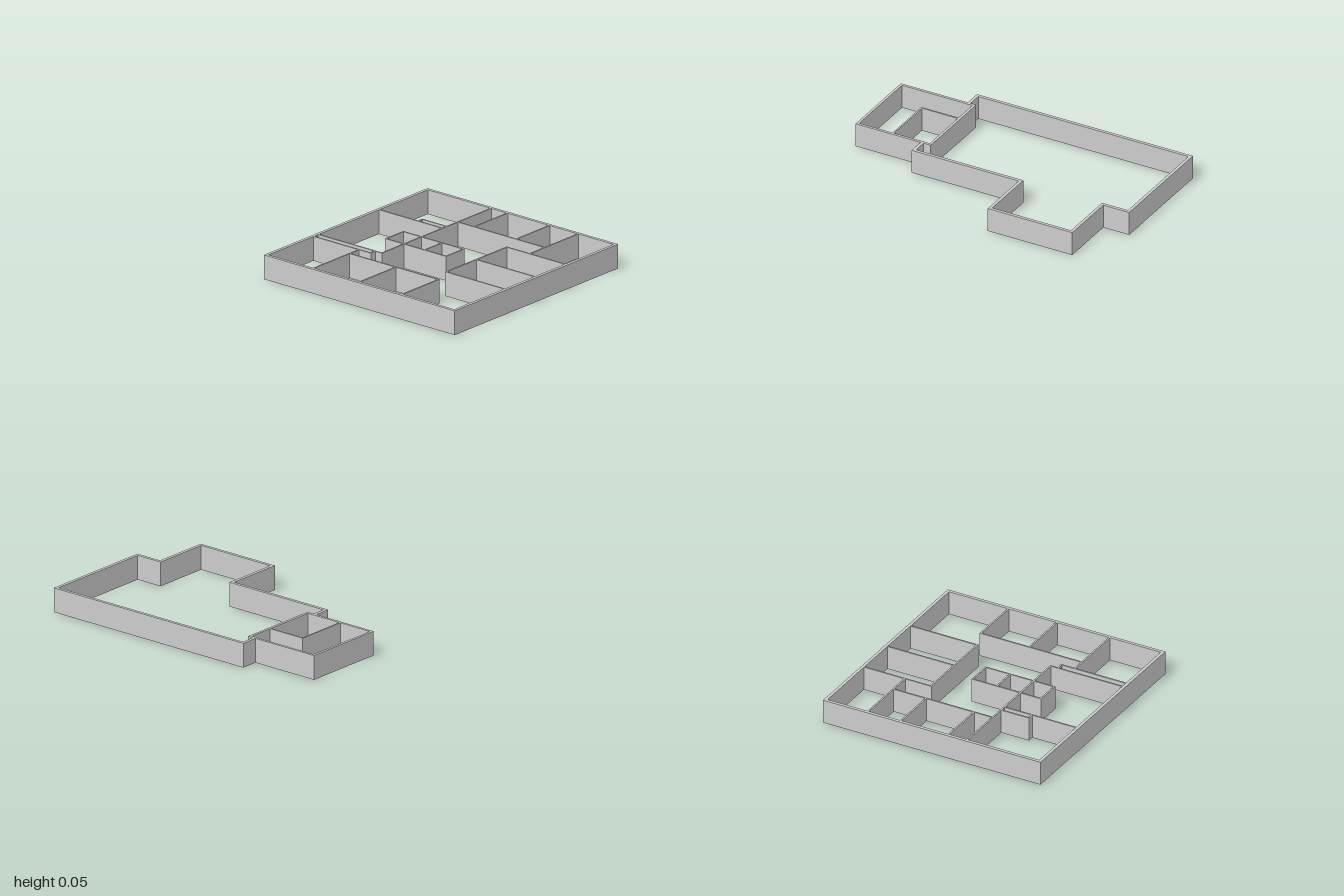
import * as THREE from 'three';

const HEIGHT = 0.046;
const material = new THREE.MeshStandardMaterial({ color: 0xcccccc });

// One straight upright wall between two plan points (x, z)
function wall(group, name, [x1, z1, x2, z2], thick) {
  const length = Math.hypot(x2 - x1, z2 - z1);
  const mesh = new THREE.Mesh(new THREE.BoxGeometry(length + thick, HEIGHT, thick), material);
  mesh.position.set((x1 + x2) / 2, HEIGHT / 2, (z1 + z2) / 2);
  mesh.rotation.y = -Math.atan2(z2 - z1, x2 - x1);
  mesh.name = name;
  group.add(mesh);
}

// A chain of walls through plan points
function wallChain(group, name, points, thick) {
  for (let i = 1; i < points.length; i++) {
    wall(group, name, [...points[i - 1], ...points[i]], thick);
  }
}

const rectangle = (x1, z1, x2, z2) => [[x1, z1], [x2, z1], [x2, z2], [x1, z2], [x1, z1]];

function squareBuilding() {
  const group = new THREE.Group();
  group.name = 'squareBuilding';
  const W = -0.698, E = -0.259, N = -0.997, S = -0.553;
  wallChain(group, 'outerWall', rectangle(W, N, E, S), 0.006);

  const partitions = [
    // back rooms
    [-0.548, N, -0.548, -0.694], [-0.51, N, -0.51, -0.903],
    [-0.412, N, -0.412, -0.903], [-0.345, N, -0.345, -0.861],
    [-0.548, -0.903, -0.345, -0.903],
    // west rooms
    [W, -0.861, -0.548, -0.861], [-0.605, -0.873, -0.548, -0.873],
    [-0.605, -0.873, -0.605, -0.861], [W, -0.694, -0.548, -0.694],
    [W, -0.681, -0.563, -0.681], [-0.563, -0.694, -0.563, -0.681],
    // east rooms
    [-0.398, -0.861, -0.398, -0.694], [-0.398, -0.861, E, -0.861],
    [-0.398, -0.777, E, -0.777], [-0.398, -0.694, E, -0.694],
    // front rooms
    [-0.59, -0.655, -0.383, -0.655], [-0.59, -0.681, -0.59, S],
    [-0.482, -0.655, -0.482, S], [-0.383, -0.655, -0.383, S],
  ];
  partitions.forEach((p) => wall(group, 'partition', p, 0.003));

  // central core with its divider
  wallChain(group, 'coreWall', rectangle(-0.59, -0.803, -0.45, -0.755), 0.003);
  wall(group, 'coreDivider', [-0.5, -0.803, -0.5, -0.755], 0.003);
  return group;
}

function hallBuilding() {
  const group = new THREE.Group();
  group.name = 'hallBuilding';
  // stepped outline, open where the annex joins
  wallChain(group, 'hallWall', [
    [0.563, 0.803], [0.563, 0.771], [0.344, 0.771], [0.344, 0.659], [0.177, 0.659],
    [0.177, 0.771], [0.124, 0.771], [0.124, 0.995], [0.56, 0.995], [0.56, 0.962],
  ], 0.006);
  // annex and its inner room
  wallChain(group, 'annexWall', rectangle(0.548, 0.803, 0.697, 0.962), 0.005);
  wallChain(group, 'annexPartition', [[0.625, 0.803], [0.625, 0.908], [0.548, 0.908]], 0.003);
  return group;
}

export function createModel() {
  const model = new THREE.Group();
  model.name = 'wallPlans';
  model.add(squareBuilding(), hallBuilding());
  return model;
}
